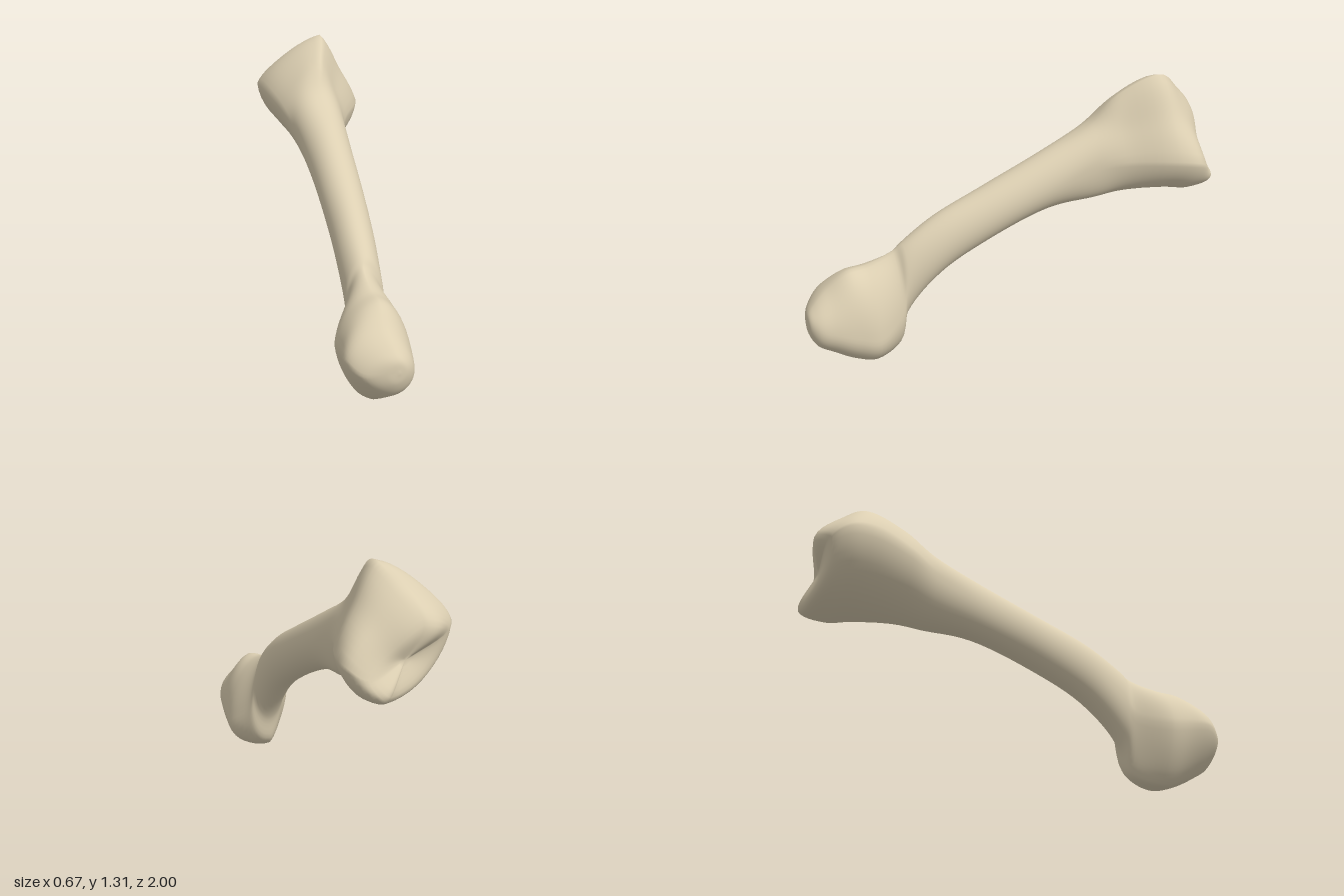
import * as THREE from 'three';
import { mergeVertices } from 'three/addons/utils/BufferGeometryUtils.js';

const AROUND = 48, STEPS = 6;

// Flattening of the four quarters of a section: upper +x, lower +x, lower -x, upper -x
const ROUND = [0, 0, 0, 0], LOWER = [0.06, -0.06, 0.13, 0.05], UPPER = [0.26, 0.06, 0.04, 0.14];

// Cross-section at depth z: an oval between its limits, whose highest, lowest,
// leftmost and rightmost points may be off centre
function section(dents, z, x0, x1, y0, y1, topX = (x0 + x1) / 2, bottomX = topX, leftY = (y0 + y1) / 2, rightY = leftY) {
  return Array.from({ length: AROUND }, (_, j) => {
    const a = j / AROUND * Math.PI * 2, s = Math.sin(a), c = Math.cos(a);
    const cx = c > 0 ? topX : bottomX, cy = s > 0 ? rightY : leftY;
    const k = 1 - dents[Math.floor(4 * j / AROUND)] * Math.abs(Math.sin(2 * a));
    return new THREE.Vector3(
      cx + k * s * (s > 0 ? x1 - cx : cx - x0),
      cy + k * c * (c > 0 ? y1 - cy : cy - y0), z);
  });
}

// Smooth skin through the cross-sections, front to back, closed at both tips
function loft(rows) {
  const n = (rows.length - 1) * STEPS, pos = [], idx = [];
  const columns = rows[0].map((_, j) => new THREE.CatmullRomCurve3(rows.map(r => r[j])));
  for (let i = 0; i <= n; i++) {
    for (let j = 0; j < AROUND; j++) {
      pos.push(...columns[j].getPoint(i / n).toArray());
      if (i === n) continue;
      const a = i * AROUND + j, b = i * AROUND + (j + 1) % AROUND;
      if (i > 0) idx.push(a, b, a + AROUND);
      if (i < n - 1) idx.push(b, b + AROUND, a + AROUND);
    }
  }
  const g = new THREE.BufferGeometry();
  g.setAttribute('position', new THREE.Float32BufferAttribute(pos, 3));
  g.setIndex(idx);
  const merged = mergeVertices(g);
  merged.computeVertexNormals();
  return merged;
}

export function createModel() {
  const boneMaterial = new THREE.MeshStandardMaterial({ color: 0xdccfb2 });
  boneMaterial.name = 'bone';

  const lowerHead = [
    section(ROUND, 1, -0.13, -0.13, 0.245, 0.245),
    section(ROUND, 0.993, -0.19, -0.09, 0.19, 0.3),
    section(LOWER, 0.96, -0.28, -0.05, 0.13, 0.345, -0.15),
    section(LOWER, 0.89, -0.335, -0.02, 0.08, 0.41, -0.16, -0.18, 0.28, 0.22),
    section(LOWER, 0.79, -0.325, 0.01, 0.025, 0.485, -0.14, -0.18, 0.28, 0.19),
    section(LOWER, 0.69, -0.315, 0.03, 0, 0.497, -0.14, -0.18, 0.27, 0.17),
    section(LOWER, 0.56, -0.22, -0.01, 0.055, 0.545, -0.13, -0.14, 0.32, 0.26),
  ];
  const shaft = [
    section(ROUND, 0.515, -0.205, -0.02, 0.21, 0.585),
    section(ROUND, 0.35, -0.19, 0.005, 0.4, 0.7),
    section(ROUND, 0.1, -0.165, 0.045, 0.55, 0.82),
    section(ROUND, -0.2, -0.14, 0.09, 0.67, 0.96),
    section(ROUND, -0.43, -0.14, 0.13, 0.71, 1.075, 0, 0.05, 0.92, 0.9),
  ];
  // broad, crested head
  const upperHead = [
    section(UPPER, -0.56, -0.17, 0.19, 0.73, 1.22, 0.05, 0.08, 0.99, 0.92),
    section(UPPER, -0.75, -0.205, 0.31, 0.74, 1.31, 0.11, 0.14, 1.05, 0.93),
    section(UPPER, -0.87, -0.2, 0.335, 0.735, 1.22, 0.07, 0.19, 1.05, 0.91),
  ];
  // end rim, pushed back into two lobes with a notch on either side
  const rim = section(UPPER, -0.97, -0.13, 0.27, 0.77, 1.07, 0.03, 0.2, 1.01, 0.86);
  rim.forEach((p, j) => { p.z += 0.03 * Math.sin(j / AROUND * Math.PI * 4 - 0.87); });
  const hollow = section(ROUND, -0.95, 0.09, 0.09, 0.92, 0.92);

  const bone = new THREE.Mesh(loft([...lowerHead, ...shaft, ...upperHead, rim, hollow]), boneMaterial);
  bone.name = 'legBone';
  const group = new THREE.Group();
  group.name = 'bone';
  group.add(bone);
  return group;
}
